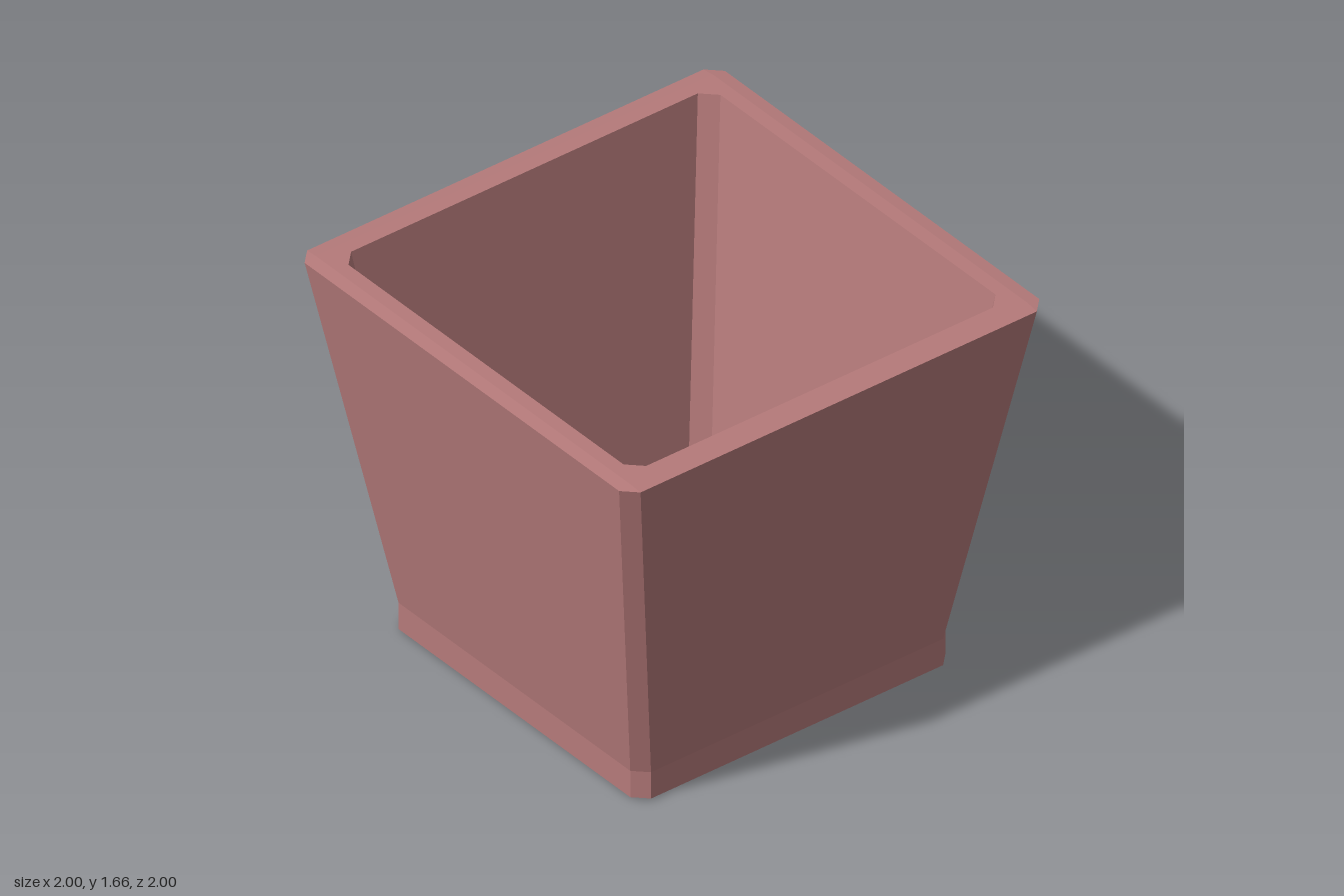
import * as THREE from 'three';

// Square ring with cut corners: h = half width, c = corner cut, y = height
function ring([h, c, y]) {
  const k = h - c;
  return [[h, -k], [h, k], [k, h], [-k, h], [-h, k], [-h, -k], [-k, -h], [k, -h]]
    .map(([x, z]) => [x, y, z]);
}

// Skin a series of rings; surfaces face outwards when the rings run upwards
function loft(profile) {
  const rings = profile.map(ring);
  const pos = [];
  const tri = (a, b, c) => {
    const t = new THREE.Triangle(...[a, b, c].map((p) => new THREE.Vector3(...p)));
    if (t.getArea() > 1e-7) pos.push(...a, ...b, ...c);
  };
  for (let r = 0; r < rings.length - 1; r++) {
    const lo = rings[r], hi = rings[r + 1];
    for (let i = 0; i < 8; i++) {
      const j = (i + 1) % 8;
      tri(lo[i], hi[i], lo[j]);
      tri(lo[j], hi[i], hi[j]);
    }
  }
  const geo = new THREE.BufferGeometry();
  geo.setAttribute('position', new THREE.Float32BufferAttribute(pos, 3));
  geo.computeVertexNormals();
  return geo;
}

export function createModel() {
  const group = new THREE.Group();
  group.name = 'planter';
  const clay = new THREE.MeshStandardMaterial({ color: 0xb57a7a, flatShading: true });

  // Each part is a run of rings: [half width, corner cut, height]
  const parts = {
    // slightly domed underside and short upright foot
    foot: [[0, 0, 0], [0.695, 0, 0], [0.75, 0.055, 0.01], [0.75, 0.055, 0.13]],
    // flared outside wall
    outerWall: [[0.75, 0.055, 0.13], [1, 0.057, 1.652]],
    // rim, softened along the outer edge
    rim: [[1, 0.057, 1.652], [0.945, 0, 1.658], [0.885, 0.06, 1.658]],
    // tapering inside wall
    innerWall: [[0.885, 0.06, 1.658], [0.67, 0.06, 0.14]],
    // flat inside bottom
    innerFloor: [[0.67, 0.06, 0.14], [0, 0, 0.14]],
  };
  for (const [name, profile] of Object.entries(parts)) {
    const mesh = new THREE.Mesh(loft(profile), clay);
    mesh.name = name;
    group.add(mesh);
  }
  return group;
}
